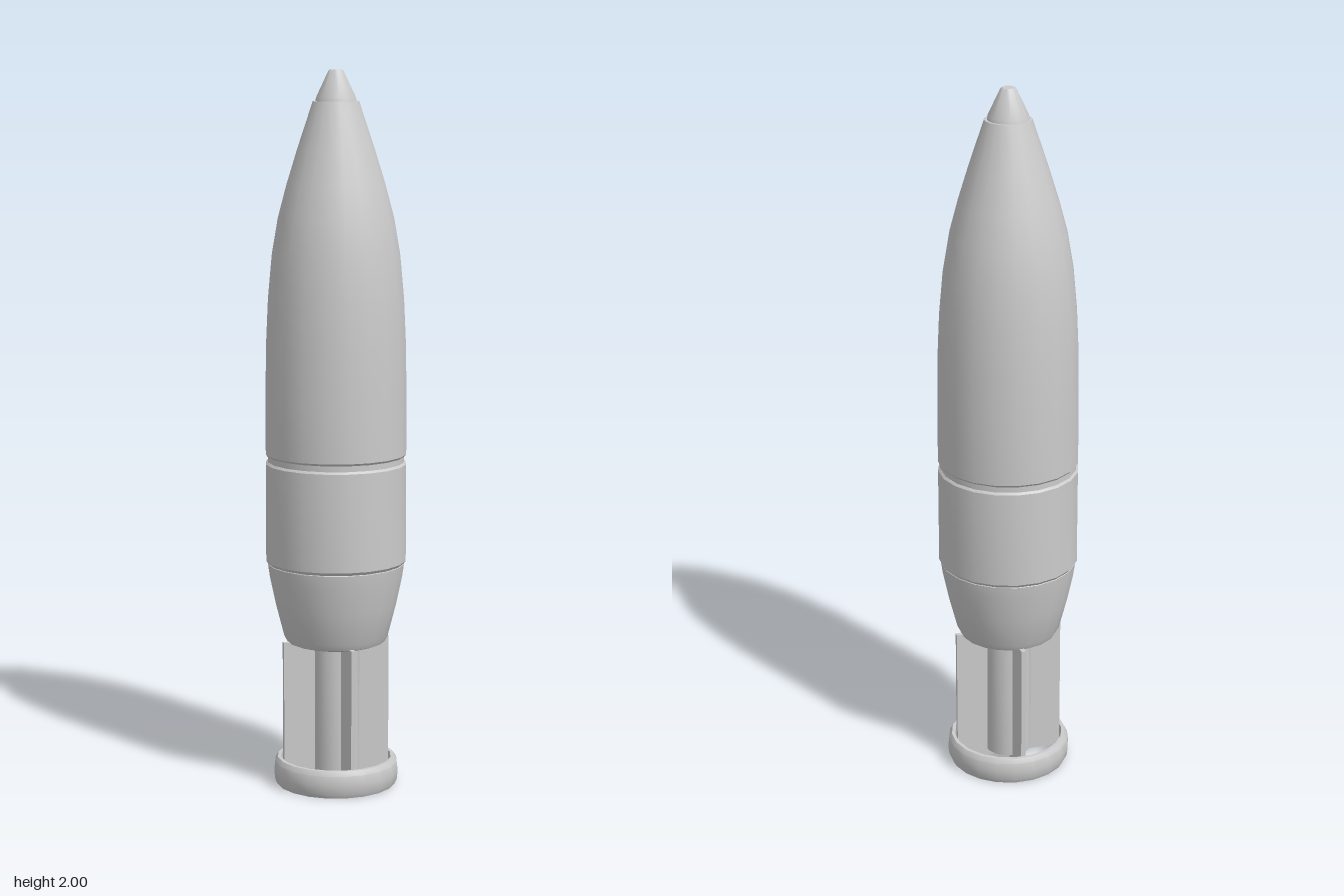
import * as THREE from 'three';
import { toCreasedNormals } from 'three/addons/utils/BufferGeometryUtils.js';

const SIDES = 20;

export function createModel() {
  const model = new THREE.Group();
  const material = new THREE.MeshStandardMaterial({ color: 0xcccccc });

  const add = (name, geometry, parent = model) => {
    const mesh = new THREE.Mesh(geometry, material);
    mesh.name = name;
    parent.add(mesh);
    return mesh;
  };
  // Profile points are [radius, height], bottom to top on the outside
  const turned = (name, profile, sides = SIDES) => {
    const points = profile.map(([r, y]) => new THREE.Vector2(r, y));
    return add(name, toCreasedNormals(new THREE.LatheGeometry(points, sides), 0.5));
  };

  // Tapered rear section with a rounded lower lip
  turned('tailCone', [
    [0, 0.41], [0.125, 0.408], [0.138, 0.413], [0.147, 0.43],
    [0.17, 0.52], [0.187, 0.6], [0.192, 0.635], [0.187, 0.64], [0, 0.64],
  ]);

  // Straight middle band
  turned('middleBand', [
    [0, 0.636], [0.19, 0.636], [0.197, 0.645], [0.197, 0.918], [0.192, 0.924], [0, 0.924],
  ]);

  // Recessed joint between band and forward shell
  turned('jointGroove', [[0, 0.92], [0.191, 0.92], [0.191, 0.945], [0, 0.945]]);

  // Curved forward shell
  turned('forwardShell', [
    [0, 0.94], [0.192, 0.94], [0.197, 0.946], [0.197, 1.1], [0.195, 1.25], [0.189, 1.38],
    [0.178, 1.5], [0.161, 1.6], [0.137, 1.69], [0.106, 1.79], [0.064, 1.915], [0, 1.915],
  ]);

  // Blunt nose fuse
  turned('noseFuse', [[0, 1.91], [0.058, 1.91], [0.055, 1.925], [0.022, 1.995], [0.018, 2], [0, 2]]);

  // Central tail boom
  turned('tailBoom', [[0, 0.03], [0.066, 0.03], [0.066, 0.415], [0, 0.415]], 16);

  // Four diagonal fins
  const fins = new THREE.Group();
  fins.name = 'tailFins';
  model.add(fins);
  for (let i = 0; i < 4; i++) {
    const arm = new THREE.Group();
    arm.name = 'finArm';
    arm.rotation.y = Math.PI / 4 + (i * Math.PI) / 2;
    fins.add(arm);
    add('fin', new THREE.BoxGeometry(0.1, 0.36, 0.013), arm).position.set(0.105, 0.235, 0);
    add('finFoot', new THREE.BoxGeometry(0.16, 0.05, 0.013), arm).position.set(0.08, 0.035, 0);
  }

  // Open, rounded ring around the fin feet
  turned('tailRing', [
    [0.156, 0], [0.168, 0], [0.174, 0.012], [0.177, 0.038], [0.174, 0.064],
    [0.166, 0.077], [0.156, 0.077], [0.156, 0],
  ]);

  return model;
}
